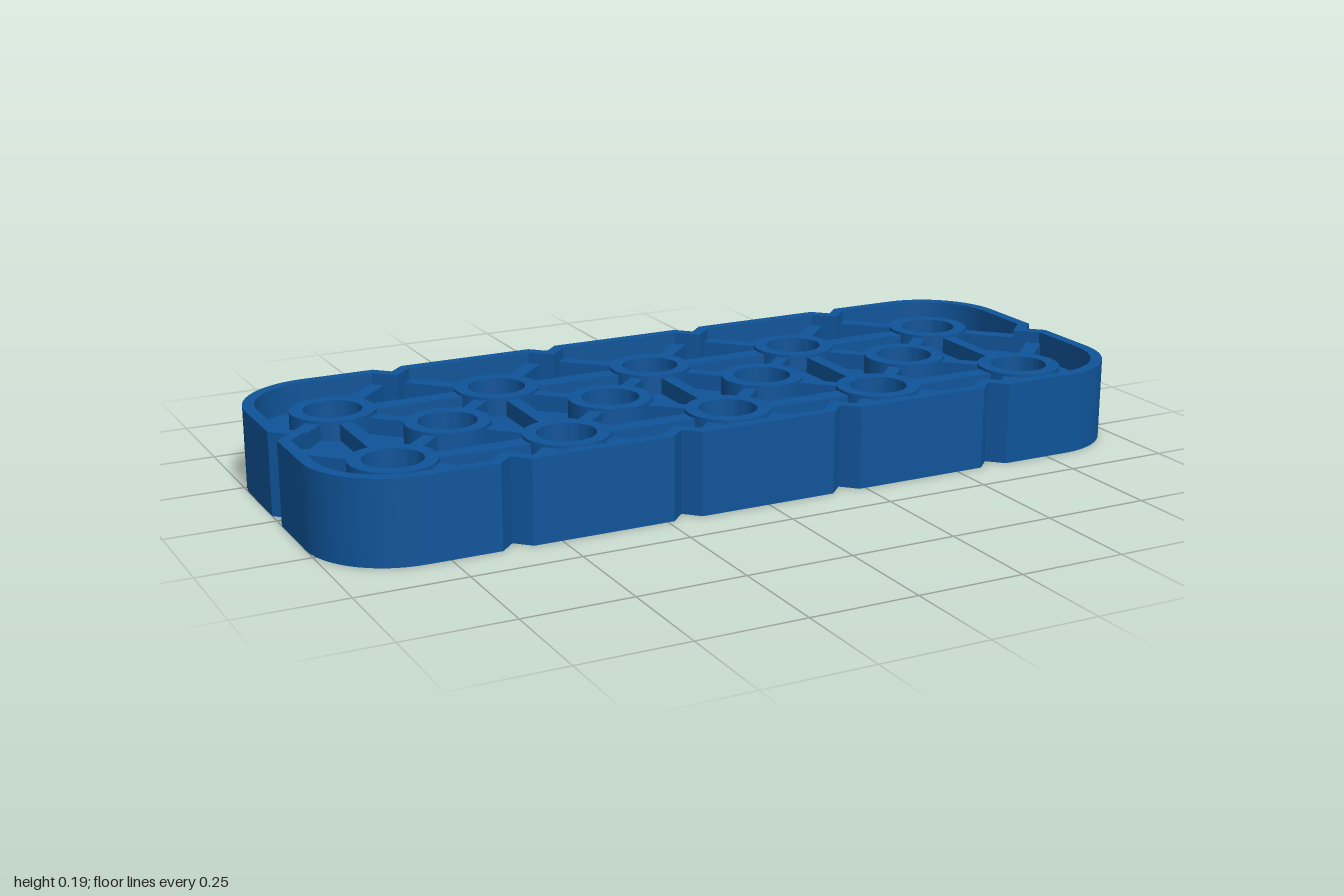
import * as THREE from 'three';
import { toCreasedNormals } from 'three/addons/utils/BufferGeometryUtils.js';

const HX = 1, HZ = 0.395, HEIGHT = 0.193, MID = HEIGHT / 2;
const CORNER = 0.195, NOTCH = 0.035, HOLE = 0.067, RING = 0.098;
const material = new THREE.MeshStandardMaterial({ color: 0x0f5499 });

// Rounded rectangle with V notches on every side, offset inward by t
function trace(path, t) {
  const hx = HX - t, hz = HZ - t, r = CORNER - t;
  const depth = NOTCH + t * (Math.SQRT2 - 1);
  const notch = (x, y, dx, dy) => {
    path.lineTo(x - dx * depth, y - dy * depth);
    path.lineTo(x - dy * depth, y + dx * depth);
    path.lineTo(x + dx * depth, y + dy * depth);
  };
  const quarter = Math.PI / 2;
  path.moveTo(-hx + r, -hz);
  for (const x of [-0.6, -0.2, 0.2, 0.6]) notch(x, -hz, 1, 0);
  path.lineTo(hx - r, -hz);
  path.absarc(hx - r, -hz + r, r, -quarter, 0);
  notch(hx, 0, 0, 1);
  path.absarc(hx - r, hz - r, r, 0, quarter);
  for (const x of [0.6, 0.2, -0.2, -0.6]) notch(x, hz, -1, 0);
  path.absarc(-hx + r, hz - r, r, quarter, 2 * quarter);
  notch(-hx, 0, 0, -1);
  path.absarc(-hx + r, -hz + r, r, 2 * quarter, 3 * quarter);
  path.closePath();
  return path;
}

const circle = (path, x, y, r) => path.absarc(x, y, r, 0, Math.PI * 2);

// Upright extrusion centred on the mid plane
function slab(shape, height, curveSegments = 16) {
  const g = new THREE.ExtrudeGeometry(shape, { depth: height, bevelEnabled: false, curveSegments });
  g.translate(0, 0, -height / 2).rotateX(-Math.PI / 2).translate(0, MID, 0);
  return toCreasedNormals(g, 0.5);
}

export function createModel() {
  const group = new THREE.Group();
  const add = (name, geometry) => {
    const mesh = new THREE.Mesh(geometry, material);
    mesh.name = name;
    group.add(mesh);
    return mesh;
  };

  // Hole lattice: two outer rows of five, a middle row of four
  const holes = [];
  for (const z of [-0.2, 0.2]) for (let i = -2; i <= 2; i++) holes.push([i * 0.4, z]);
  for (let i = 0; i < 4; i++) holes.push([-0.6 + i * 0.4, 0]);

  // Outer wall
  const rim = trace(new THREE.Shape(), 0);
  rim.holes.push(trace(new THREE.Path(), 0.027));
  add('rim', slab(rim, HEIGHT));

  // Thin web closing the frame
  const web = trace(new THREE.Shape(), 0.012);
  for (const [x, z] of holes) web.holes.push(circle(new THREE.Path(), x, z, 0.08));
  add('web', slab(web, 0.06));

  // Bosses around the holes
  const ring = circle(new THREE.Shape(), 0, 0, RING);
  ring.holes.push(circle(new THREE.Path(), 0, 0, HOLE));
  const ringGeometry = slab(ring, HEIGHT - 0.042, 20);
  for (const [x, z] of holes) add('holeBoss', ringGeometry).position.set(x, 0, z);

  // Straight rib between two points, trimmed at both ends
  const rib = (a, b, width, trimB) => {
    const dx = b[0] - a[0], dz = b[1] - a[1], length = Math.hypot(dx, dz);
    const start = 0.085, end = length - trimB, s = (start + end) / 2 / length;
    const mesh = add('rib', new THREE.BoxGeometry(end - start, HEIGHT - 0.056, width));
    mesh.position.set(a[0] + dx * s, MID, a[1] + dz * s);
    mesh.rotation.y = -Math.atan2(dz, dx);
  };

  // Ribs between neighbouring bosses
  holes.forEach((a, i) => holes.slice(i + 1).forEach((b) => {
    const sameRow = a[1] === b[1];
    if (Math.hypot(a[0] - b[0], a[1] - b[1]) > 0.45 || (sameRow && a[1] === 0)) return;
    rib(a, b, sameRow ? 0.045 : 0.032, 0.085);
  }));

  // Diagonal ribs from the outer bosses to the notches
  const notches = [[-1, 0], [1, 0]];
  for (const x of [-0.6, -0.2, 0.2, 0.6]) notches.push([x, -0.4], [x, 0.4]);
  for (const n of notches) for (const h of holes) {
    if (h[1] !== 0 && Math.hypot(n[0] - h[0], n[1] - h[1]) < 0.3) rib(h, n, 0.036, 0.045);
  }
  return group;
}
